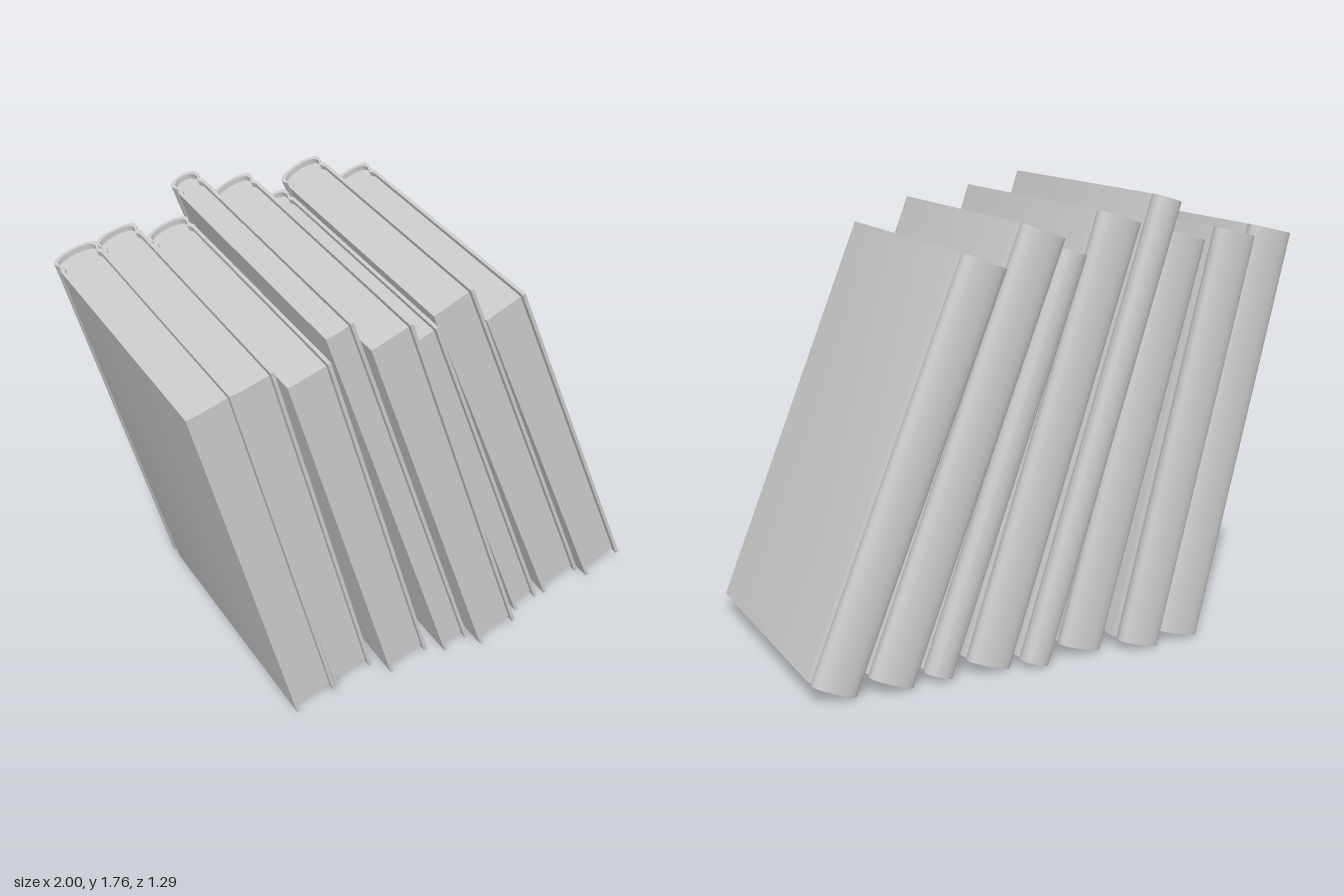
import * as THREE from 'three';
import { toCreasedNormals } from 'three/addons/utils/BufferGeometryUtils.js';

const material = new THREE.MeshStandardMaterial({ color: 0xcccccc });
const BOARD = 0.013; // cover thickness
const INSET = 0.022; // how far the pages sit inside the cover

// Each book: foot x, lean in degrees, height, thickness, spine z, fore-edge z
const BOOKS = [
  [-0.62, 13.56, 1.625, 0.18, -0.572, 0.594],
  [-0.42, 13.9, 1.63, 0.17, -0.617, 0.55],
  [-0.19, 15.3, 1.63, 0.176, -0.572, 0.594],
  [0.062, 17.26, 1.808, 0.113, -0.637, 0.603],
  [0.21, 17.8, 1.735, 0.176, -0.61, 0.642],
  [0.446, 19.3, 1.636, 0.113, -0.615, 0.55],
  [0.612, 20.56, 1.724, 0.178, -0.645, 0.525],
  [0.832, 21.4, 1.63, 0.178, -0.645, 0.525],
];

// Outline from the right fore edge, past the hinge groove, round the spine to the left
function outline(half, front, back) {
  const bulge = 0.036;
  const right = [
    [half, front],
    [half, back - 0.098],
    [half - 0.005, back - 0.086],
    [half - 0.009, back - 0.075],
    [half - 0.005, back - 0.062],
    [half, back - 0.05],
  ];
  const points = right.map(([x, v]) => new THREE.Vector2(x, v));
  const steps = 16;
  for (let i = 0; i <= steps; i++) {
    const a = (Math.PI * i) / steps;
    points.push(new THREE.Vector2(half * Math.cos(a), back - bulge + bulge * Math.sin(a)));
  }
  for (const [x, v] of right.reverse()) points.push(new THREE.Vector2(-x, v));
  return points;
}

// Extrudes a plan outline upwards from y0
function upright(name, points, y0, height) {
  const geometry = new THREE.ExtrudeGeometry(new THREE.Shape(points), {
    depth: height, bevelEnabled: false,
  });
  geometry.rotateX(-Math.PI / 2);
  geometry.translate(0, y0, 0);
  const mesh = new THREE.Mesh(toCreasedNormals(geometry, 0.6), material);
  mesh.name = name;
  return mesh;
}

function createBook(height, thickness, zSpine, zFore) {
  const book = new THREE.Group();
  const half = thickness / 2;
  const front = -zFore, back = -zSpine;

  // Case: two boards joined by the rounded spine
  const outer = outline(half, front, back);
  const inner = outline(half - BOARD, front, back - BOARD).reverse();
  book.add(upright('cover', [...outer, ...inner], 0, height));

  // Page block, set in at the head, foot and fore edge
  const pages = outline(half - BOARD - 0.0005, front + INSET, back - BOARD - 0.0005);
  book.add(upright('pages', pages, INSET, height - 2 * INSET));

  for (const part of book.children) part.position.x = half;
  return book;
}

export function createModel() {
  const model = new THREE.Group();
  model.name = 'leaningBooks';
  BOOKS.forEach(([x, lean, height, thickness, zSpine, zFore], i) => {
    const book = createBook(height, thickness, zSpine, zFore);
    book.name = `book${i + 1}`;
    book.position.x = x;
    book.rotation.z = THREE.MathUtils.degToRad(lean);
    model.add(book);
  });
  return model;
}
